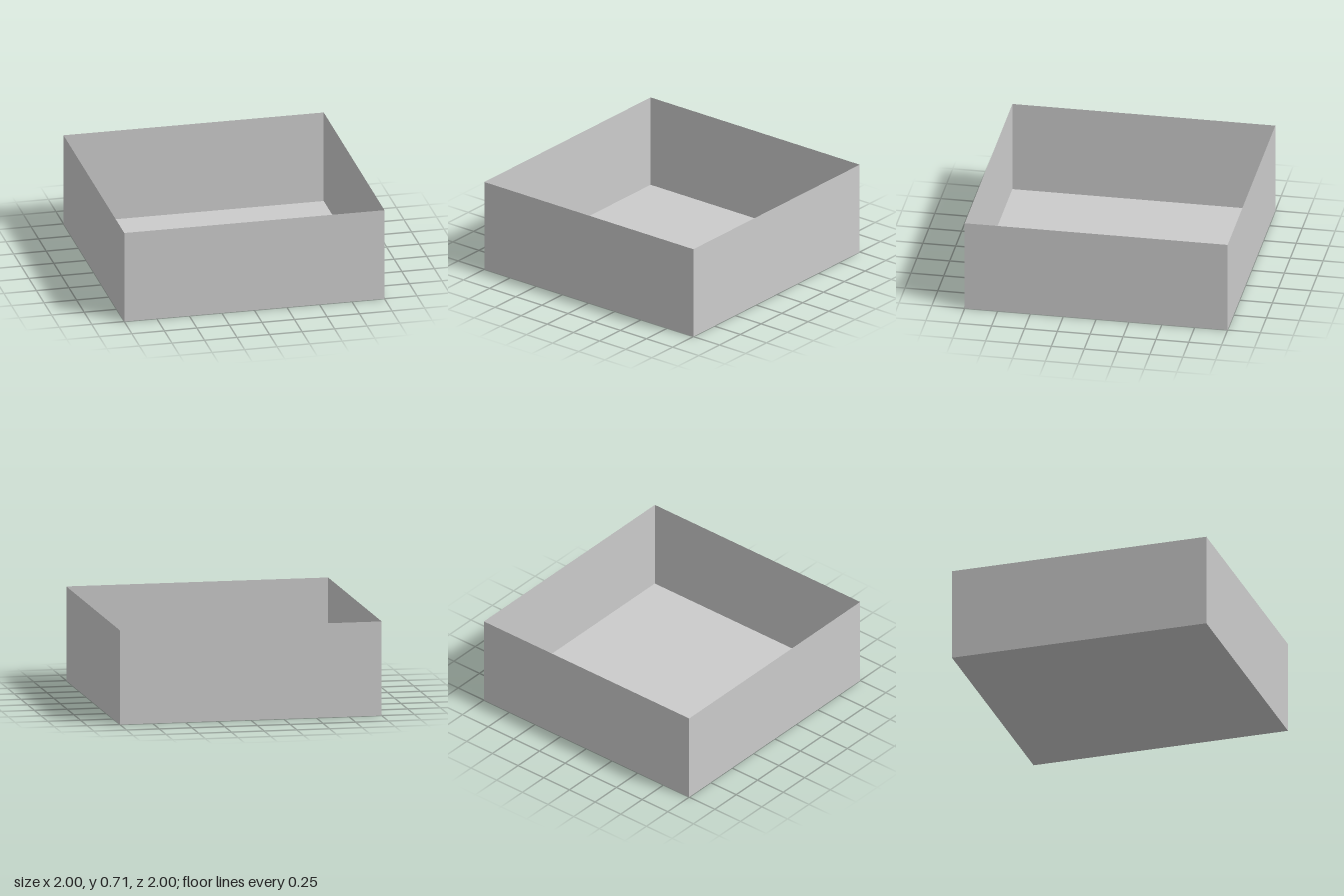
import * as THREE from 'three';

const SIZE = 2;
const HEIGHT = 0.715;

export function createModel() {
  const model = new THREE.Group();
  model.name = 'openTray';
  const material = new THREE.MeshStandardMaterial({
    color: 0xcccccc, flatShading: true, side: THREE.DoubleSide,
  });

  // Paper-thin square floor
  const floor = new THREE.Mesh(new THREE.PlaneGeometry(SIZE, SIZE).rotateX(-Math.PI / 2), material);
  floor.name = 'floor';
  model.add(floor);

  // Four paper-thin walls, each a quarter turn from the last
  const wallGeometry = new THREE.PlaneGeometry(SIZE, HEIGHT).translate(0, HEIGHT / 2, SIZE / 2);
  ['frontWall', 'leftWall', 'backWall', 'rightWall'].forEach((name, i) => {
    const wall = new THREE.Mesh(wallGeometry, material);
    wall.name = name;
    wall.rotation.y = i * Math.PI / 2;
    model.add(wall);
  });

  return model;
}
